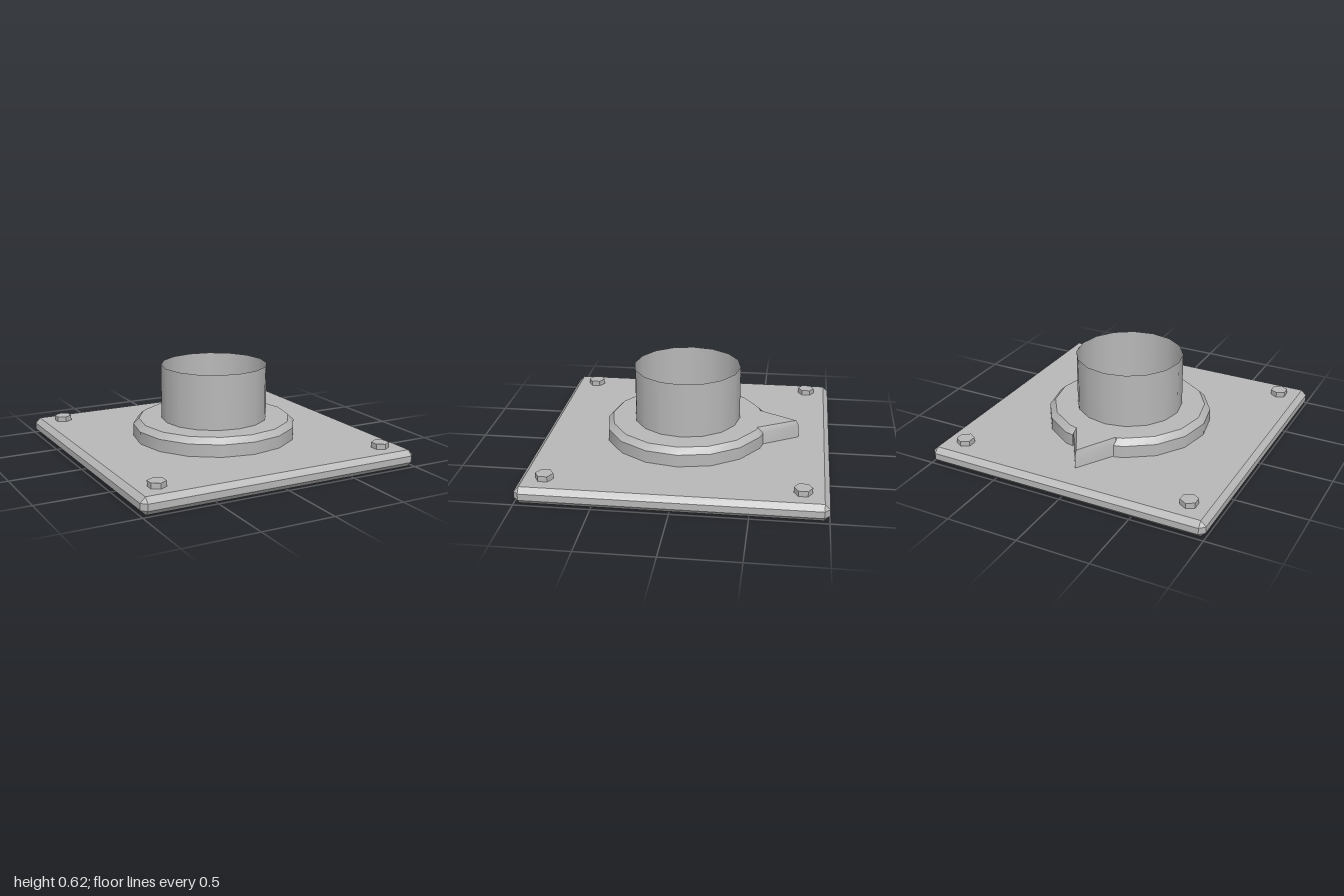
import * as THREE from 'three';
import { toCreasedNormals } from 'three/addons/utils/BufferGeometryUtils.js';

// Skin a stack of [y, outline] rings from bottom to top and cap the last one.
// Outlines are [x, z] lists running from the front towards +x.
function loft(rings) {
  const pos = [];
  const tri = (a, b, c) => {
    const area = new THREE.Triangle(a, b, c).getArea();
    if (area > 1e-7) for (const p of [a, b, c]) pos.push(p.x, p.y, p.z);
  };
  const loops = rings.map(([y, pts]) => pts.map(([x, z]) => new THREE.Vector3(x, y, z)));
  const n = loops[0].length;
  for (let r = 0; r < loops.length - 1; r++) {
    const lo = loops[r], hi = loops[r + 1];
    for (let i = 0; i < n; i++) {
      const j = (i + 1) % n;
      tri(lo[i], lo[j], hi[j]);
      tri(lo[i], hi[j], hi[i]);
    }
  }
  const top = loops[loops.length - 1];
  const centre = new THREE.Vector3(0, top[0].y, 0);
  for (let i = 0; i < n; i++) tri(centre, top[i], top[(i + 1) % n]);
  const geo = new THREE.BufferGeometry();
  geo.setAttribute('position', new THREE.Float32BufferAttribute(pos, 3));
  return toCreasedNormals(geo, 0.6);
}

// Square outline with corners cut between the half sizes a and b
const square = (a, b) => [
  [b, a], [a, b], [a, -b], [b, -a], [-b, -a], [-a, -b], [-a, b], [-b, a],
];

// Sixteen-sided collar outline whose back corner is replaced by a pointer
function collarOutline(radius, shoulder, root, tip) {
  const pts = [];
  for (let i = -7; i <= 7; i++) {
    const a = (i * Math.PI) / 8;
    pts.push([Math.sin(a) * radius, Math.cos(a) * radius]);
  }
  const [sx, sz] = shoulder, [rx, rz] = root;
  pts.push([sx, sz], [rx, rz], [0, tip], [-rx, rz], [-sx, sz]);
  return pts;
}

export function createModel() {
  const group = new THREE.Group();
  const grey = new THREE.MeshStandardMaterial({ color: 0xb8b8b8, side: THREE.DoubleSide });
  grey.name = 'grey';

  const add = (name, geo, x = 0, y = 0, z = 0) => {
    const mesh = new THREE.Mesh(geo, grey);
    mesh.name = name;
    mesh.position.set(x, y, z);
    group.add(mesh);
  };

  // Hollow base plate, bevelled all round and open underneath
  const inner = square(0.965, 0.965), outer = square(1, 0.965);
  add('basePlate', loft([[0, inner], [0.035, outer], [0.08, outer], [0.115, inner]]));

  // Raised collar with a pointer at the back, open underneath
  const wall = collarOutline(0.57, [0.155, -0.543], [0.165, -0.515], -0.785);
  const rim = collarOutline(0.53, [0.163, -0.505], [0.148, -0.503], -0.765);
  add('collar', loft([[0, wall], [0.2, wall], [0.24, rim]]));

  // Thin open pipe
  add('pipe', new THREE.CylinderGeometry(0.37, 0.37, 0.38, 16, 1, true), 0, 0.43, 0);

  // Hexagonal corner bolts
  const bolt = toCreasedNormals(new THREE.CylinderGeometry(0.06, 0.06, 0.037, 6), 0.6);
  for (const x of [-0.83, 0.83]) {
    for (const z of [-0.83, 0.83]) add('bolt', bolt, x, 0.1335, z);
  }

  return group;
}
